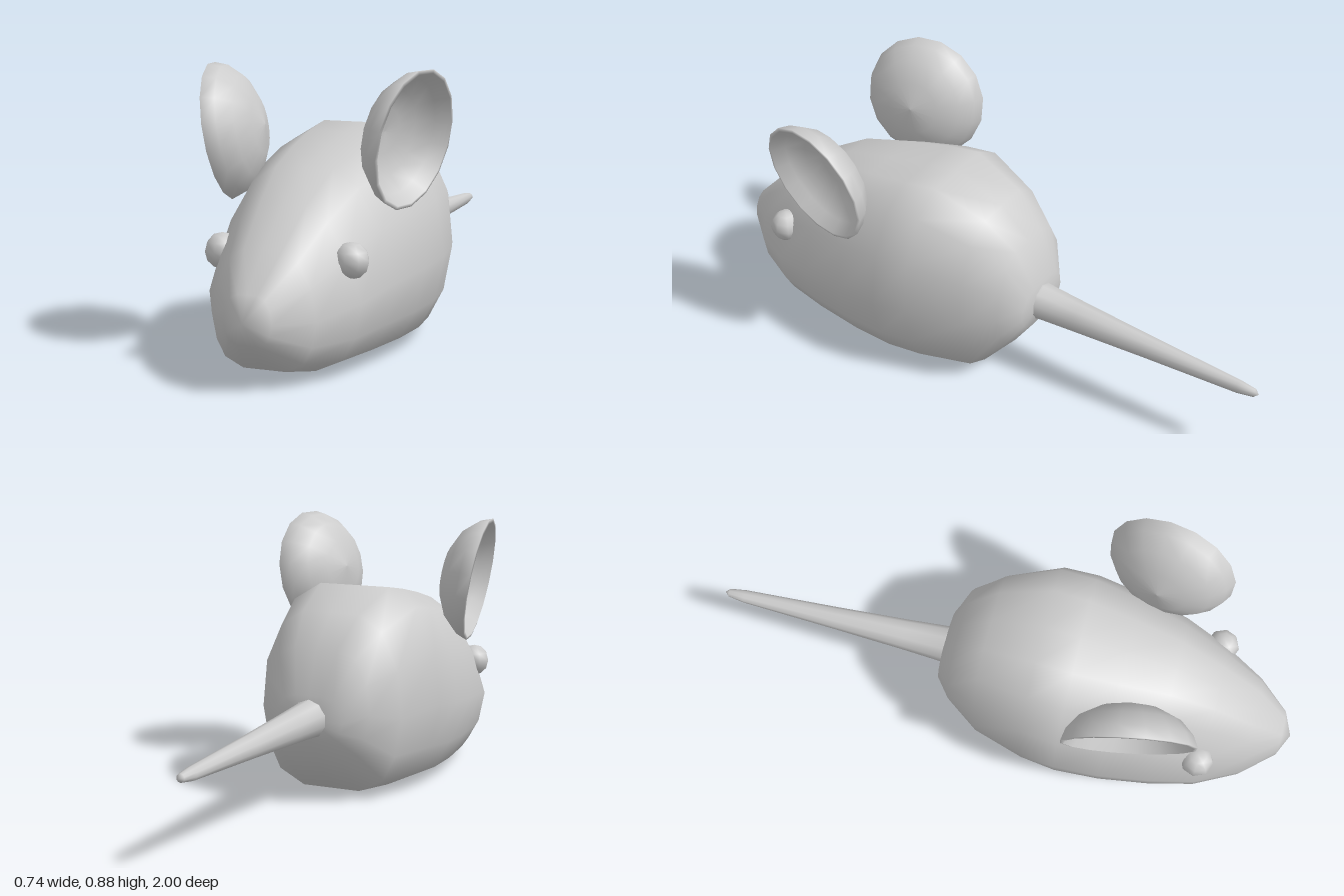
import * as THREE from 'three';

const material = new THREE.MeshStandardMaterial({ color: 0xcccccc });

// Half outline of the body section, from top to bottom (unit size)
const HALF = [[0, 1], [0.4, 1], [0.72, 0.82], [0.94, 0.4], [1, -0.13], [0.91, -0.56], [0.75, -0.84], [0.4, -1], [0, -1]];
const BODY = [...HALF, ...HALF.slice(1, -1).reverse().map(([x, y]) => [-x, y])];
const ROUND = Array.from({ length: 10 }, (_, i) => {
  const a = (i / 10) * Math.PI * 2;
  return [Math.sin(a), Math.cos(a)];
});

// Skin a section through stations [z, bottom, top, half width, upper taper],
// listed front to back, closed with a point at each end [z, y]
function loft(section, stations, front, back) {
  const n = section.length, pos = [], index = [];
  for (const [z, bottom, top, width, taper = 0] of stations) {
    for (const [u, v] of section) {
      const x = u * width * (1 - taper * Math.max(0, v + 0.13));
      pos.push(x, (top + bottom) / 2 + (v * (top - bottom)) / 2, z);
    }
  }
  const tip = stations.length * n, end = tip + 1, last = tip - n;
  pos.push(0, front[1], front[0], 0, back[1], back[0]);
  for (let j = 0; j < n; j++) {
    const k = (j + 1) % n;
    for (let i = 0; i < last; i += n) {
      index.push(i + j, i + k, i + n + j, i + k, i + n + k, i + n + j);
    }
    index.push(tip, k, j, end, last + j, last + k);
  }
  const geometry = new THREE.BufferGeometry();
  geometry.setAttribute('position', new THREE.Float32BufferAttribute(pos, 3));
  geometry.setIndex(index);
  geometry.computeVertexNormals();
  return geometry;
}

export function createModel() {
  const group = new THREE.Group();
  const add = (name, geometry) => {
    const mesh = new THREE.Mesh(geometry, material);
    mesh.name = name;
    group.add(mesh);
    return mesh;
  };

  // Body with pointed snout and rounded rump
  add('body', loft(BODY, [
    [0.965, 0.14, 0.285, 0.075],
    [0.86, 0.045, 0.395, 0.165, 0.1],
    [0.72, 0.015, 0.505, 0.245, 0.22],
    [0.57, 0.008, 0.59, 0.29, 0.18],
    [0.4, 0.002, 0.63, 0.32, 0.1],
    [0.25, 0, 0.66, 0.33, 0.04],
    [0.13, 0.005, 0.68, 0.315],
    [-0.045, 0.02, 0.61, 0.255],
    [-0.15, 0.14, 0.51, 0.19],
    [-0.203, 0.215, 0.36, 0.12],
  ], [1, 0.21], [-0.215, 0.285]));

  // Tapering tail, flared where it meets the rump
  add('tail', loft(ROUND, [
    [-0.17, 0.2, 0.37, 0.085],
    [-0.21, 0.222, 0.345, 0.062],
    [-0.35, 0.227, 0.333, 0.052],
    [-0.6, 0.236, 0.312, 0.038],
    [-0.93, 0.245, 0.288, 0.022],
    [-0.985, 0.253, 0.28, 0.014],
  ], [-0.14, 0.285], [-1, 0.266]));

  // Cupped ear shell: outer dome, rim, then inner hollow
  const profile = [
    [0, -0.135], [0.09, -0.12], [0.16, -0.085], [0.2, -0.04], [0.215, 0],
    [0.203, 0.002], [0.178, -0.04], [0.13, -0.08], [0.07, -0.1], [0, -0.106],
  ].map(([x, y]) => new THREE.Vector2(x, y));
  const earGeometry = new THREE.LatheGeometry(profile, 16);
  const eyeGeometry = new THREE.SphereGeometry(0.055, 8, 6);
  const up = new THREE.Vector3(0, 1, 0);

  for (const [side, s] of [['left', 1], ['right', -1]]) {
    // Hollow faces outward, a little forward and down
    const ear = add(side + 'Ear', earGeometry);
    ear.position.set(s * 0.315, 0.677, 0.475);
    ear.quaternion.setFromUnitVectors(up, new THREE.Vector3(s, -0.18, 0.19).normalize());

    const eye = add(side + 'Eye', eyeGeometry);
    eye.position.set(s * 0.207, 0.35, 0.705);
  }
  return group;
}
